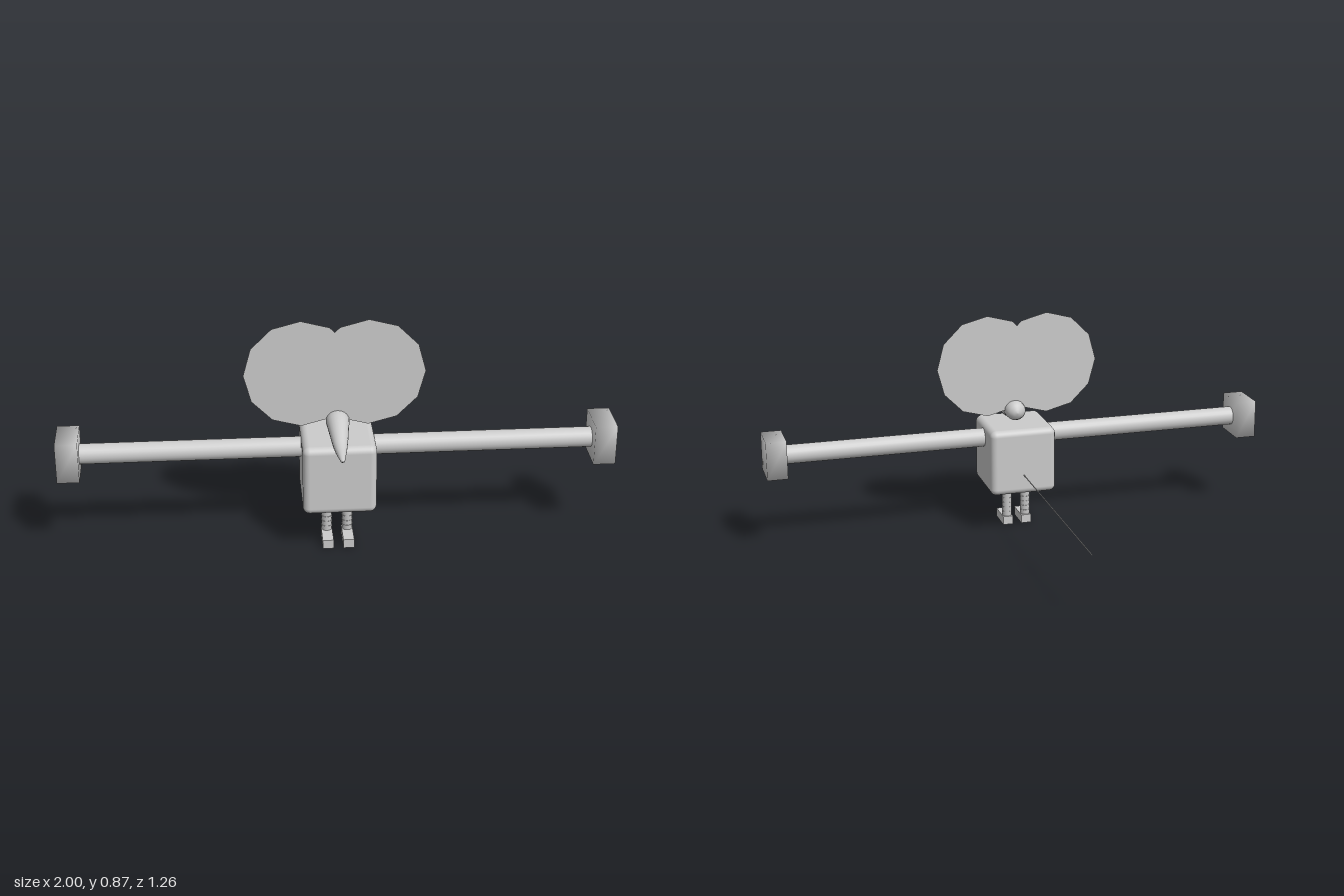
import * as THREE from 'three';
import { mergeVertices } from 'three/addons/utils/BufferGeometryUtils.js';
import { RoundedBoxGeometry } from 'three/addons/geometries/RoundedBoxGeometry.js';

const grey = new THREE.MeshStandardMaterial({ color: 0xcccccc });
const greyThin = new THREE.MeshStandardMaterial({ color: 0xcccccc, side: THREE.DoubleSide });

function add(parent, name, geometry, x, y, z, material = grey) {
  const mesh = new THREE.Mesh(geometry, material);
  mesh.name = name;
  mesh.position.set(x, y, z);
  parent.add(mesh);
  return mesh;
}

// Box whose corners share normals, for soft shading
function softBox(w, h, d) {
  const box = new THREE.BoxGeometry(w, h, d);
  box.deleteAttribute('normal');
  box.deleteAttribute('uv');
  const soft = mergeVertices(box);
  soft.computeVertexNormals();
  return soft;
}

// Head flowing into a trunk: elliptical sections [z, centre y, half width, half height]
function headGeometry() {
  const sections = [
    [0.338, 0.474, 0.001, 0.001], [0.341, 0.474, 0.015, 0.015], [0.35, 0.475, 0.029, 0.029],
    [0.365, 0.476, 0.039, 0.038], [0.385, 0.476, 0.042, 0.039], [0.41, 0.474, 0.04, 0.038],
    [0.44, 0.466, 0.036, 0.036], [0.48, 0.455, 0.031, 0.031], [0.52, 0.443, 0.025, 0.024],
    [0.55, 0.438, 0.02, 0.018], [0.59, 0.438, 0.013, 0.012], [0.62, 0.439, 0.008, 0.007],
    [0.63, 0.44, 0.001, 0.001],
  ];
  const sides = 20, positions = [], index = [];
  sections.forEach(([z, y, w, h], i) => {
    for (let j = 0; j < sides; j++) {
      const a = (j / sides) * Math.PI * 2;
      positions.push(w * Math.cos(a), y + h * Math.sin(a), z);
      if (i === 0) continue;
      const k = (j + 1) % sides, p = (i - 1) * sides, q = i * sides;
      index.push(p + j, p + k, q + k, p + j, q + k, q + j);
    }
  });
  const g = new THREE.BufferGeometry();
  g.setAttribute('position', new THREE.Float32BufferAttribute(positions, 3));
  g.setIndex(index);
  g.computeVertexNormals();
  return g;
}

export function createModel() {
  const model = new THREE.Group();
  model.name = 'figure';

  add(model, 'body', new RoundedBoxGeometry(0.264, 0.265, 0.268, 4, 0.025), 0, 0.298, 0.383);
  add(model, 'headAndTrunk', headGeometry(), 0, 0, 0);

  for (const side of [-1, 1]) {
    const label = side > 0 ? 'left' : 'right';

    // Straight arm with a block hand
    const arm = add(model, label + 'Arm', new THREE.CylinderGeometry(0.037, 0.037, 0.84, 24), side * 0.52, 0.375, 0.38);
    arm.rotation.z = Math.PI / 2;
    add(model, label + 'Hand', softBox(0.08, 0.15, 0.152), side * 0.96, 0.375, 0.38);

    // Flat twelve-sided ear
    add(model, label + 'Ear', new THREE.CircleGeometry(0.203, 12), side * 0.12 - 0.01, 0.662, 0.383, greyThin);

    // Leg of stacked rings on a foot that points forward
    const leg = new THREE.Group();
    leg.name = label + 'Leg';
    leg.position.set(side * 0.0375 - 0.002, 0, 0.385);
    model.add(leg);
    const rings = 7, step = 0.135 / rings;
    for (let i = 0; i < rings; i++) {
      add(leg, 'legRing', new THREE.CylinderGeometry(0.02, 0.0185, step, 16), 0, 0.035 + step * (i + 0.5), 0);
    }
    add(leg, 'foot', new THREE.BoxGeometry(0.04, 0.034, 0.107), 0, 0.017, 0.0335);
  }

  // Thin straight tail
  const tail = add(model, 'tail', new THREE.CylinderGeometry(0.002, 0.002, 0.89, 8), 0, 0.245, -0.185);
  tail.rotation.x = Math.PI / 2;

  return model;
}
